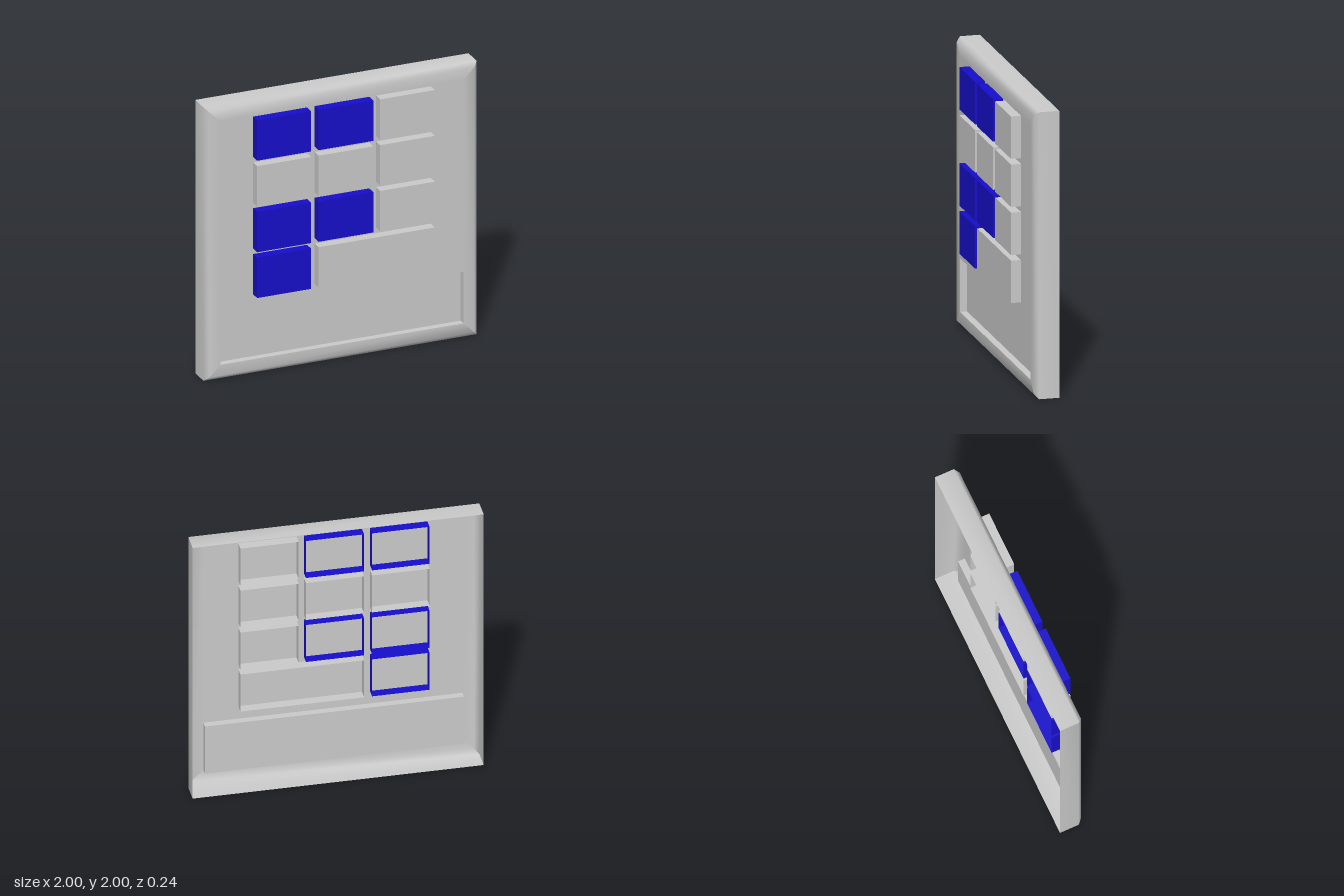
import * as THREE from 'three';

const grey = new THREE.MeshStandardMaterial({ color: 0xcccccc, side: THREE.DoubleSide });
const blue = new THREE.MeshStandardMaterial({ color: 0x170ecc, side: THREE.DoubleSide });

const FRONT = 0.05; // z of the face plate
const BACK = -0.12; // z of the open back

function addMesh(group, name, geometry, material) {
  const mesh = new THREE.Mesh(geometry, material);
  mesh.name = name;
  group.add(mesh);
  return mesh;
}

// Box between two corners with one face left out (4 = front, 5 = back)
function openBox(x0, x1, y0, y1, z0, z1, openFace) {
  const geo = new THREE.BoxGeometry(x1 - x0, y1 - y0, z1 - z0);
  const index = Array.from(geo.index.array);
  index.splice(openFace * 6, 6);
  geo.setIndex(index);
  geo.clearGroups();
  return geo.translate((x0 + x1) / 2, (y0 + y1) / 2, (z0 + z1) / 2);
}

// One side of the shell: wall, softened bevel and flat border, mitred at the corners
function shellSide(a, b) {
  const profile = [[0, BACK], [0, 0.02], [0.03, FRONT], [0.11, FRONT]]; // inset, z
  const positions = [];
  const index = [];
  profile.forEach(([inset, z], i) => {
    for (const [sx, sy] of [a, b]) positions.push(sx * (1 - inset), 1 + sy * (1 - inset), z);
    if (i > 0) {
      const k = (i - 1) * 2;
      index.push(k, k + 1, k + 3, k, k + 3, k + 2);
    }
  });
  const geo = new THREE.BufferGeometry();
  geo.setAttribute('position', new THREE.Float32BufferAttribute(positions, 3));
  geo.setIndex(index);
  geo.computeVertexNormals();
  return geo;
}

export function createModel() {
  const model = new THREE.Group();
  model.name = 'keypadPanel';

  // Hollow shell, open at the back
  const shell = new THREE.Group();
  shell.name = 'shell';
  model.add(shell);
  const corners = [[-1, -1], [1, -1], [1, 1], [-1, 1]];
  ['bottomSide', 'leftSide', 'topSide', 'rightSide'].forEach((name, i) =>
    addMesh(shell, name, shellSide(corners[i], corners[(i + 1) % 4]), grey));

  // Face plate above the recess
  const plateBottom = 0.485, plateTop = 1.89;
  const plate = new THREE.PlaneGeometry(1.78, plateTop - plateBottom);
  plate.translate(0, (plateTop + plateBottom) / 2, FRONT);
  addMesh(shell, 'facePlate', plate, grey);

  // Sunken panel along the bottom
  addMesh(shell, 'recessedPanel', openBox(-0.89, 0.89, 0.11, plateBottom, 0, FRONT, 4), grey);

  // Keys: hollow boxes pushed through the plate
  const columns = [[-0.65, -0.255], [-0.2, 0.2], [0.25, 0.65]];
  const rows = [ // first column, last column, material
    [[0, 0, blue], [1, 1, blue], [2, 2, grey]],
    [[0, 0, grey], [1, 1, grey], [2, 2, grey]],
    [[0, 0, blue], [1, 1, blue], [2, 2, grey]],
    [[0, 0, blue], [1, 2, grey]],
  ];
  const keys = new THREE.Group();
  keys.name = 'keys';
  model.add(keys);
  rows.forEach((row, r) => {
    const top = 1.885 - r * 0.335;
    row.forEach(([first, last, material], c) => {
      const geo = openBox(columns[first][0], columns[last][1], top - 0.295, top, -0.02, 0.12, 5);
      addMesh(keys, `key row ${r + 1} column ${c + 1}`, geo, material);
    });
  });

  return model;
}
